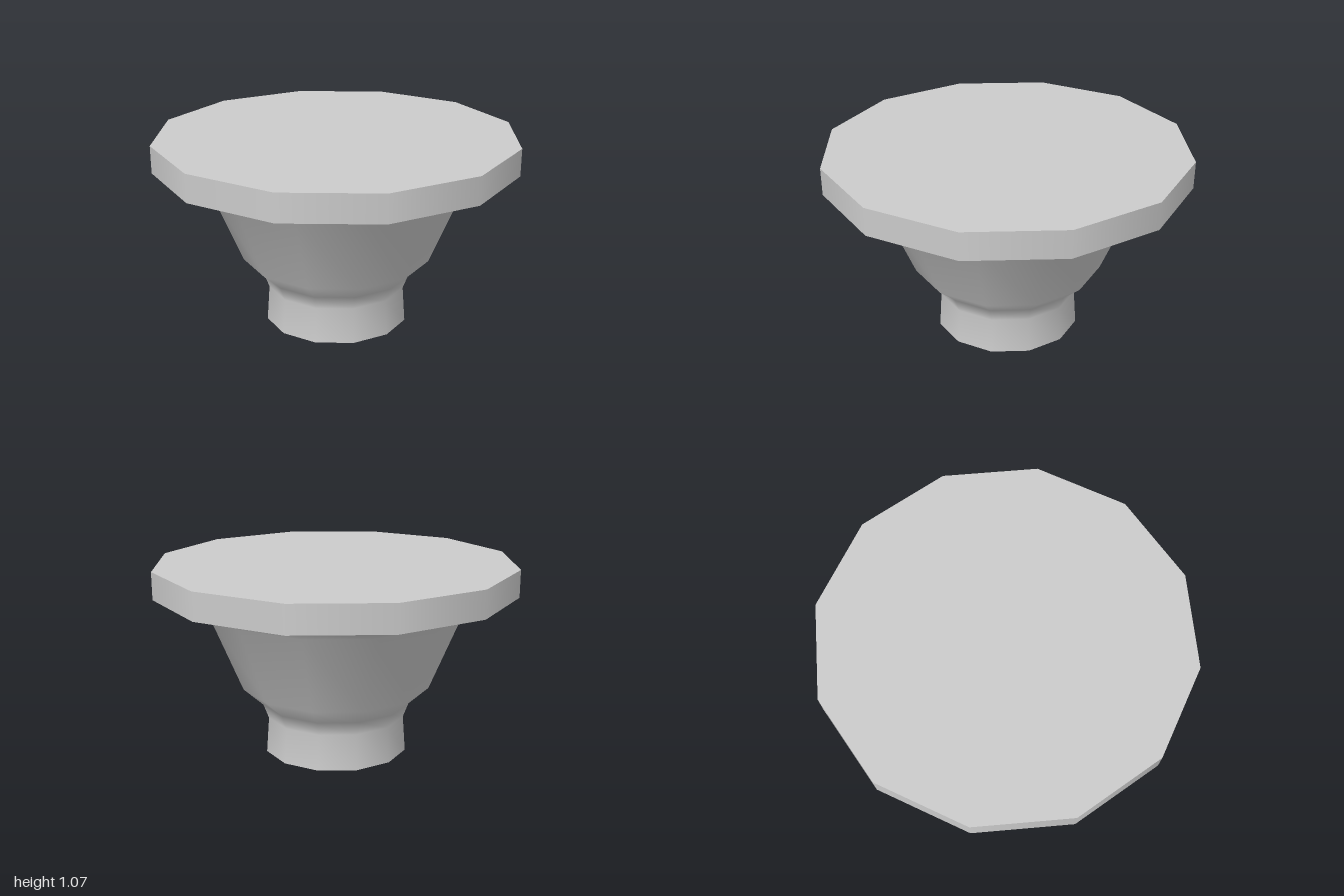
import * as THREE from 'three';

const SIDES = 12;

export function createModel() {
  const group = new THREE.Group();
  const grey = new THREE.MeshStandardMaterial({ color: 0xcccccc });
  const greyDouble = new THREE.MeshStandardMaterial({ color: 0xcccccc, side: THREE.DoubleSide });

  const add = (name, geometry, material, y = 0) => {
    const mesh = new THREE.Mesh(geometry, material);
    mesh.name = name;
    mesh.position.y = y;
    group.add(mesh);
  };

  // Flared body: hollow neck, shoulder, cone, and lip under the rim
  const profile = [
    [0.405, 0], [0.39, 0.2], [0.42, 0.28], [0.53, 0.38],
    [0.71, 0.82], [0.86, 0.9], [1, 0.92],
  ].map(([r, y]) => new THREE.Vector2(r, y));
  add('body', new THREE.LatheGeometry(profile, SIDES), greyDouble);

  // Flat disc closing the neck from inside
  const floor = new THREE.CircleGeometry(0.42, SIDES).rotateX(Math.PI / 2);
  add('neckFloor', floor, greyDouble, 0.28);

  // Thick rim band with a flat top
  const band = [new THREE.Vector2(1, 0.92), new THREE.Vector2(1, 1.07)];
  add('rim', new THREE.LatheGeometry(band, SIDES), grey);
  add('top', new THREE.CircleGeometry(1, SIDES).rotateX(-Math.PI / 2), grey, 1.07);

  return group;
}
